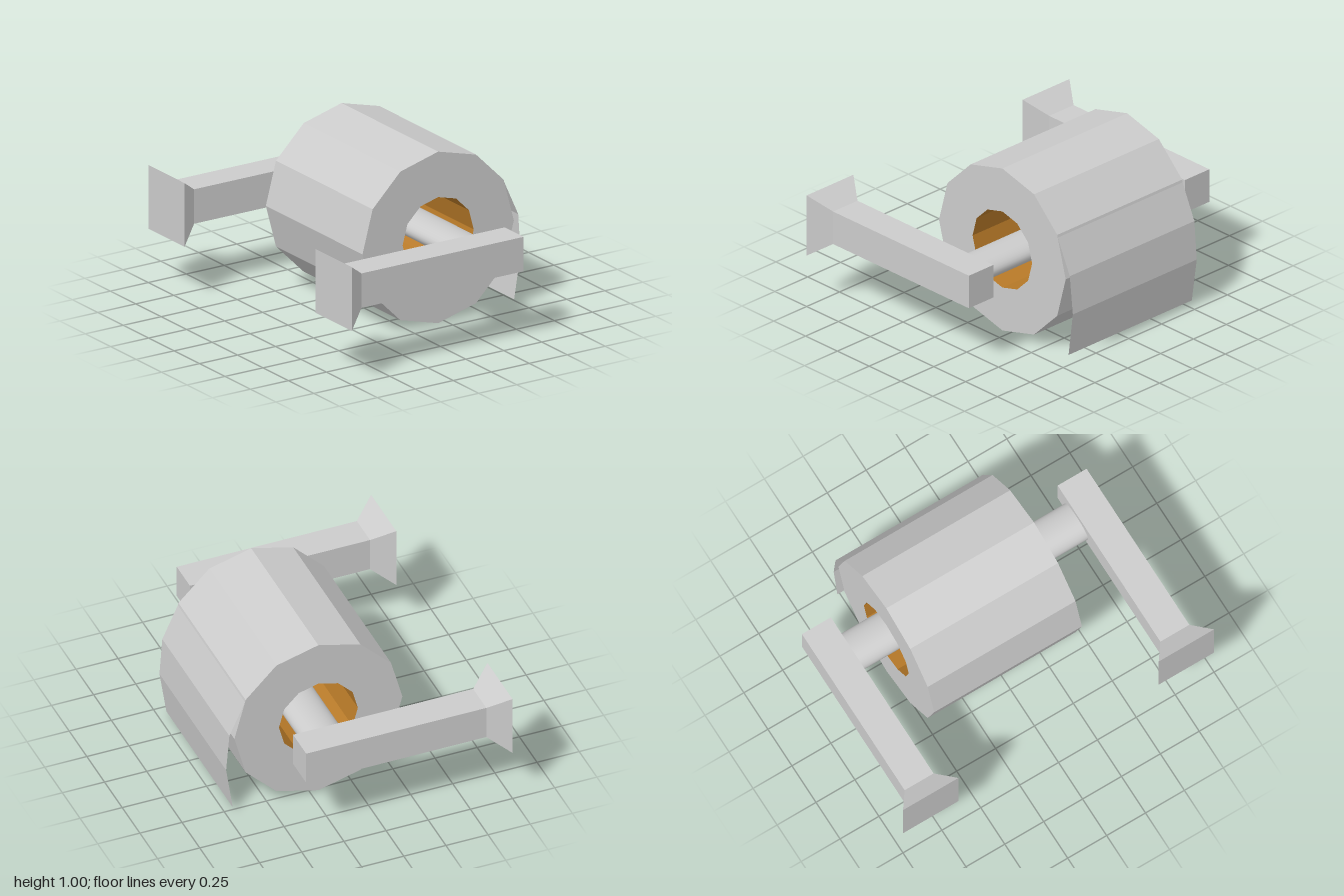
import * as THREE from 'three';

const grey = new THREE.MeshStandardMaterial({ color: 0xcccccc });
const flatGrey = new THREE.MeshStandardMaterial({ color: 0xcccccc, flatShading: true });
const sheetGrey = new THREE.MeshStandardMaterial({ color: 0xcccccc, flatShading: true, side: THREE.DoubleSide });
const cardboard = new THREE.MeshStandardMaterial({ color: 0xb87a28, flatShading: true });

const ROLL = { x: 0.2, y: 0.5, outer: 0.498, inner: 0.234, back: -0.52, front: 0.43 };

function add(parent, name, geometry, material) {
  const mesh = new THREE.Mesh(geometry, material);
  mesh.name = name;
  parent.add(mesh);
  return mesh;
}

// Twelve-sided ring surface swept around the z axis from [radius, z] points
function ring(points) {
  const g = new THREE.LatheGeometry(points.map(([r, z]) => new THREE.Vector2(r, z)), 12);
  return g.rotateX(Math.PI / 2).translate(ROLL.x, ROLL.y, 0);
}

// Wall plate: a block whose wall side is widened
function flare() {
  const g = new THREE.BoxGeometry(0.12, 0.2, 0.186);
  const p = g.attributes.position;
  for (let i = 0; i < p.count; i++) {
    if (p.getX(i) < 0) {
      p.setY(i, Math.sign(p.getY(i)) * 0.185);
      p.setZ(i, Math.sign(p.getZ(i)) * 0.178);
    }
  }
  g.computeVertexNormals();
  return g;
}

// Loose sheet: rows of front and back points going down the profile
function sheet() {
  const profile = [[0.628, 0.75, 0.43], [0.728, 0.53, 0.428], [0.747, 0.3, 0.423], [0.708, 0.035, 0.418]];
  const positions = [], index = [];
  profile.forEach(([x, y, z], i) => {
    positions.push(x, y, z, x, y, ROLL.back);
    if (i > 0) {
      const a = 2 * (i - 1);
      index.push(a, a + 2, a + 1, a + 1, a + 2, a + 3);
    }
  });
  const g = new THREE.BufferGeometry();
  g.setAttribute('position', new THREE.Float32BufferAttribute(positions, 3));
  g.setIndex(index);
  g.computeVertexNormals();
  return g;
}

export function createModel() {
  const model = new THREE.Group();
  model.name = 'paperRollHolder';

  // Paper roll with cardboard core and hanging sheet
  const roll = new THREE.Group();
  roll.name = 'roll';
  model.add(roll);
  const { inner, outer, back, front } = ROLL;
  add(roll, 'paper', ring([[inner, back], [outer, back], [outer, front], [inner, front]]), flatGrey);
  add(roll, 'cardboardCore', ring([[inner, front], [inner, back]]), cardboard);
  add(roll, 'looseSheet', sheet(), sheetGrey);

  // Oval rod between the arms
  const rod = new THREE.CylinderGeometry(0.12, 0.12, 1.46, 32).rotateX(Math.PI / 2).scale(1, 0.567, 1);
  add(model, 'rod', rod, grey).position.set(0.24, 0.492, 0);

  // Two brackets, mirrored front to back
  for (const side of [1, -1]) {
    const bracket = new THREE.Group();
    bracket.name = side > 0 ? 'frontBracket' : 'backBracket';
    bracket.position.set(0, 0.5, side * 0.822);
    add(bracket, 'arm', new THREE.BoxGeometry(1.07, 0.2, 0.186), flatGrey).position.x = -0.097;
    add(bracket, 'wallPlate', flare(), flatGrey).position.x = -0.69;
    model.add(bracket);
  }

  return model;
}
